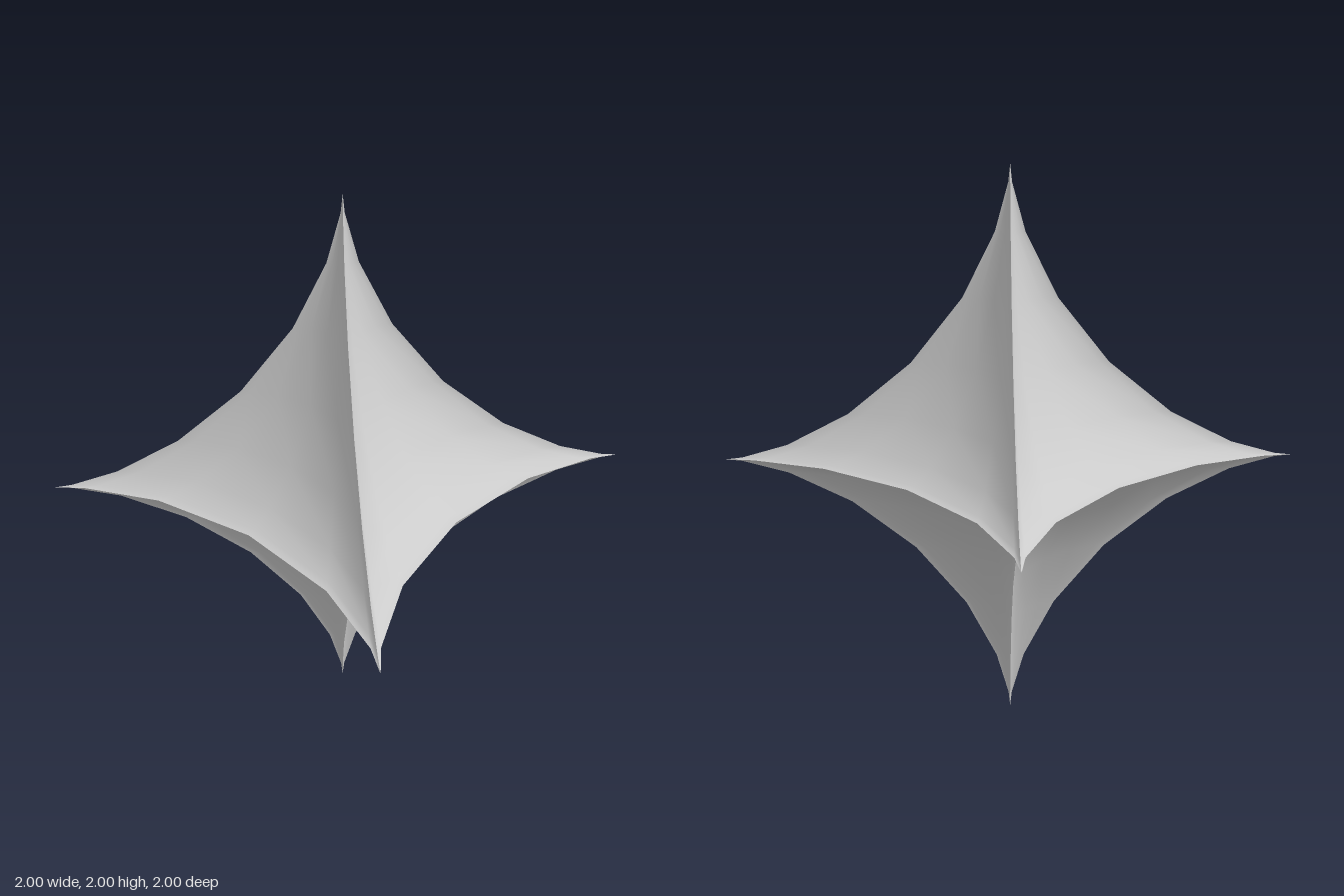
import * as THREE from 'three';

const POWER = 3.1; // how far the sphere is pinched towards its six tips

// One eighth of a sphere, pinched along the axes into a concave star sector
function starSector(phiStart, thetaStart) {
  const quarter = Math.PI / 2;
  const geometry = new THREE.SphereGeometry(1, 6, 8, phiStart, quarter, thetaStart, quarter);
  const position = geometry.attributes.position;
  const pinch = (v) => Math.sign(v) * Math.pow(Math.abs(v), POWER);
  for (let i = 0; i < position.count; i++) {
    position.setXYZ(i, pinch(position.getX(i)), pinch(position.getY(i)), pinch(position.getZ(i)));
  }
  // Smooth inside the sector, sharp ridges where sectors meet
  geometry.computeVertexNormals();
  return geometry;
}

export function createModel() {
  const model = new THREE.Group();
  model.name = 'sixPointedStar';
  const material = new THREE.MeshStandardMaterial({ color: 0xcccccc });

  // Four upper and four lower sectors
  ['upper', 'lower'].forEach((half, row) => {
    for (let i = 0; i < 4; i++) {
      const sector = new THREE.Mesh(starSector(i * Math.PI / 2, row * Math.PI / 2), material);
      sector.name = `${half}Sector${i + 1}`;
      sector.position.y = 1;
      model.add(sector);
    }
  });
  return model;
}
